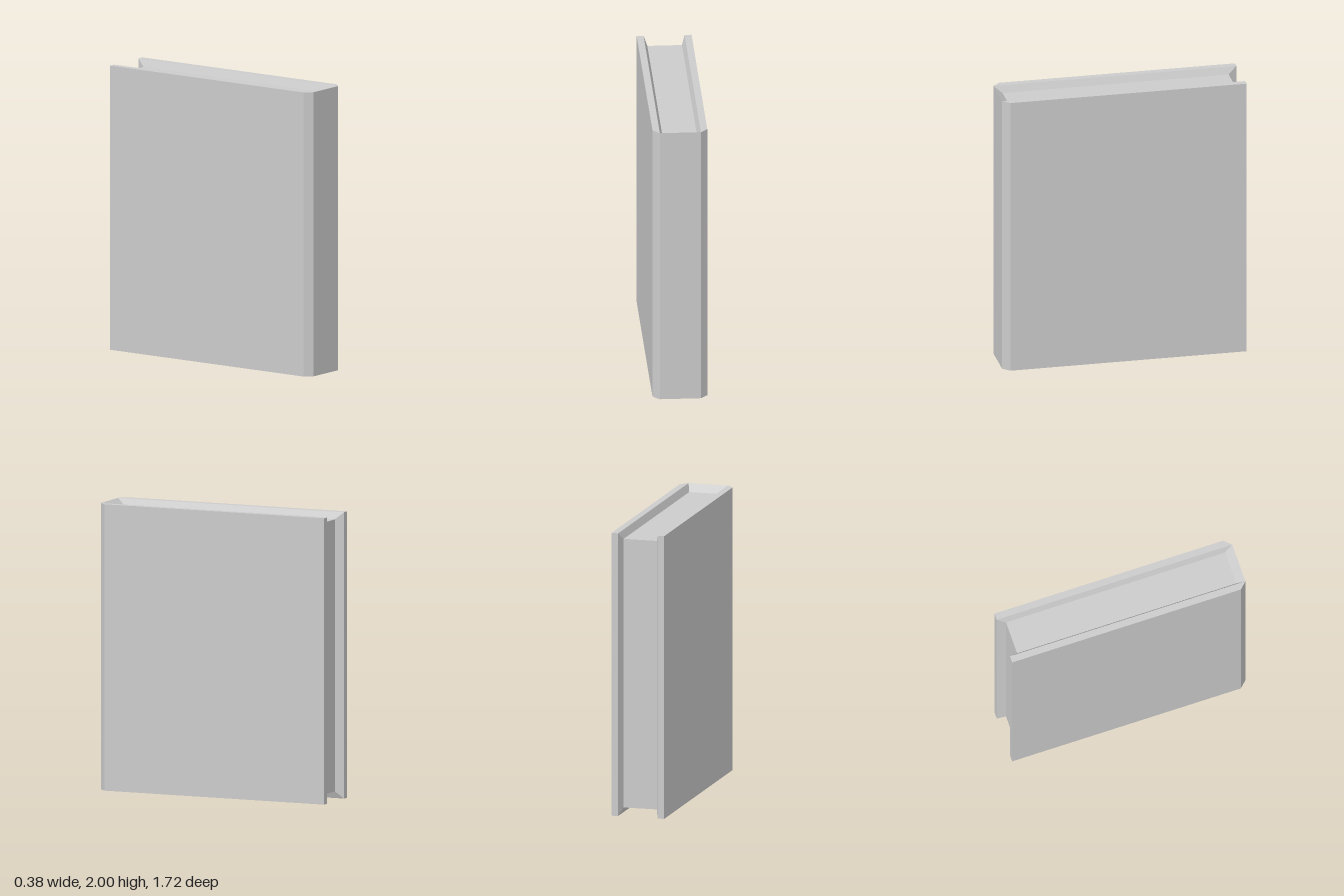
import * as THREE from 'three';

const HEIGHT = 2, BACK = -0.86, FRONT = 0.86, INSET = 0.05;
const OUTER_X = 0.19, RIM_X = 0.142, PAGE_X = 0.12, PAGE_Z = 0.8;

// Rectangle in the plane z, counter-clockwise seen from +z
const rect = (x0, x1, y0, y1, z) => [[x0, y0, z], [x1, y0, z], [x1, y1, z], [x0, y1, z]];

// Skin through a stack of rectangles, closed at the first one (facing +z)
function loft(rings) {
  const points = [];
  const quad = (a, b, c, d) => points.push(...a, ...b, ...c, ...a, ...c, ...d);
  quad(...rings[0]);
  for (let r = 0; r + 1 < rings.length; r++) {
    for (let i = 0; i < 4; i++) {
      const j = (i + 1) % 4;
      quad(rings[r][j], rings[r][i], rings[r + 1][i], rings[r + 1][j]);
    }
  }
  const geometry = new THREE.BufferGeometry();
  geometry.setAttribute('position', new THREE.Float32BufferAttribute(points, 3));
  geometry.computeVertexNormals();
  return geometry;
}

export function createModel() {
  const group = new THREE.Group();
  const material = new THREE.MeshStandardMaterial({ color: 0xcccccc, side: THREE.DoubleSide });
  const add = (name, geometry) => {
    const mesh = new THREE.Mesh(geometry, material);
    mesh.name = name;
    group.add(mesh);
    return mesh;
  };

  // Page block, recessed at top, bottom and back
  add('pages', new THREE.BoxGeometry(PAGE_X * 2, HEIGHT - INSET * 2, PAGE_Z * 2))
    .position.y = HEIGHT / 2;

  // Cover boards: flat face, chamfer to the spine, rim sloping in to the pages
  for (const side of [1, -1]) {
    const board = (z0, z1, inset, x) => side > 0
      ? rect(-z1, -z0, inset, HEIGHT - inset, x)
      : rect(z0, z1, inset, HEIGHT - inset, x);
    const geometry = loft([
      board(BACK, 0.81, 0, OUTER_X),
      board(BACK, FRONT, 0, RIM_X),
      board(-PAGE_Z, PAGE_Z, INSET, PAGE_X),
    ]);
    geometry.rotateY(side * Math.PI / 2);
    add(side > 0 ? 'leftCover' : 'rightCover', geometry);
  }

  // Spine, its top and bottom edges sloping in to the pages
  add('spine', loft([
    rect(-RIM_X, RIM_X, 0, HEIGHT, FRONT),
    rect(-PAGE_X, PAGE_X, INSET, HEIGHT - INSET, PAGE_Z),
  ]));

  return group;
}
